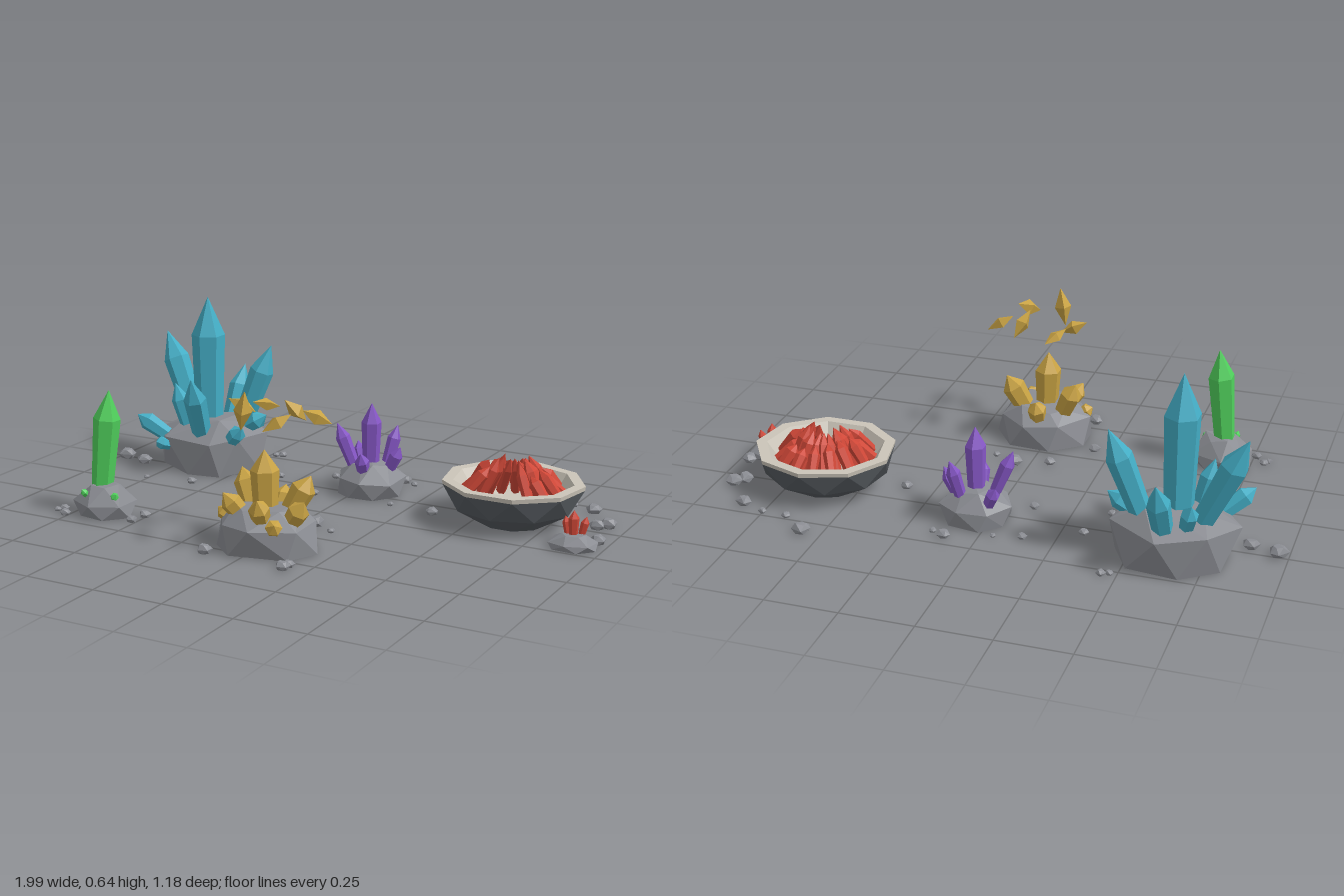
import * as THREE from 'three';
import { ConvexGeometry } from 'three/addons/geometries/ConvexGeometry.js';

const material = (name, color) => {
  const m = new THREE.MeshStandardMaterial({ color });
  m.name = name;
  return m;
};
const Y = new THREE.Vector3(0, 1, 0);

// Small seeded generator for rock irregularity
function seeded(seed) {
  let s = seed * 7919 + 17;
  return () => ((s = (s * 16807) % 2147483647) / 2147483647);
}

// Facet a geometry
function facet(geometry) {
  const g = geometry.index ? geometry.toNonIndexed() : geometry;
  g.computeVertexNormals();
  return g;
}

function add(parent, name, geometry, mat) {
  const mesh = new THREE.Mesh(geometry, mat);
  mesh.name = name;
  parent.add(mesh);
  return mesh;
}

// Convex boulder from jittered rings of [radius factor, height]
function rock(parent, name, mat, [x, z], [rx, rz], rings, sides, seed) {
  const rnd = seeded(seed), pts = [];
  rings.forEach(([f, y], j) => {
    for (let i = 0; i < sides; i++) {
      const a = ((i + j * 0.5 + (rnd() - 0.5) * 0.4) / sides) * Math.PI * 2;
      const k = f * (0.92 + rnd() * 0.12);
      const h = j === 0 ? 0 : y * (0.9 + rnd() * 0.2);
      pts.push(new THREE.Vector3(Math.cos(a) * rx * k, h, Math.sin(a) * rz * k));
    }
  });
  const mesh = add(parent, name, facet(new ConvexGeometry(pts)), mat);
  mesh.position.set(x, 0, z);
}

// Six-sided crystal from a base point to a tip, widening towards its point
function crystal(parent, mat, base, tip, r, name = 'crystal') {
  const from = new THREE.Vector3(...base), dir = new THREE.Vector3(...tip).sub(from);
  const len = dir.length(), shoulder = Math.max(len * 0.72, len - r * 2.3);
  const profile = [[0, 0], [r * 0.78, 0], [r, shoulder], [0, len]].map((p) => new THREE.Vector2(...p));
  const mesh = add(parent, name, facet(new THREE.LatheGeometry(profile, 6)), mat);
  mesh.position.copy(from);
  mesh.quaternion.setFromUnitVectors(Y, dir.normalize());
}

export function createModel() {
  const model = new THREE.Group();
  model.name = 'crystalCollection';
  const stone = material('grey stone', 0x8b8d93);
  const shell = material('dark stone', 0x54595e);
  const cream = material('cream lining', 0xcac4b8);
  const blue = material('blue crystal', 0x44aec6);
  const red = material('red crystal', 0xcf4737);
  const purple = material('purple crystal', 0x8657c6);
  const gold = material('golden crystal', 0xc9a344);
  const green = material('green crystal', 0x50d05c);

  const group = (name) => {
    const g = new THREE.Group();
    g.name = name;
    model.add(g);
    return g;
  };

  // Blue cluster
  const blueCluster = group('blueCluster');
  rock(blueCluster, 'blueRock', stone, [-0.635, -0.325], [0.22, 0.185],
    [[0.92, 0], [1, 0.13], [0.55, 0.18]], 7, 3);
  [
    [[-0.65, 0.1, -0.325], [-0.65, 0.64, -0.325], 0.062],
    [[-0.71, 0.1, -0.36], [-0.88, 0.475, -0.4], 0.048],
    [[-0.56, 0.1, -0.37], [-0.435, 0.46, -0.42], 0.045],
    [[-0.63, 0.07, -0.41], [-0.62, 0.345, -0.54], 0.04],
    [[-0.625, 0.08, -0.25], [-0.6, 0.375, -0.12], 0.042],
    [[-0.69, 0.1, -0.27], [-0.745, 0.32, -0.24], 0.033],
    [[-0.55, 0.13, -0.35], [-0.42, 0.21, -0.355], 0.034],
    [[-0.76, 0.11, -0.23], [-0.87, 0.2, -0.17], 0.034],
    [[-0.53, 0.1, -0.25], [-0.435, 0.195, -0.2], 0.032],
    [[-0.745, 0.09, -0.2], [-0.765, 0.115, -0.135], 0.024],
    [[-0.69, 0.12, -0.41], [-0.72, 0.25, -0.46], 0.03],
  ].forEach((c) => crystal(blueCluster, blue, ...c));

  // Purple cluster
  const purpleCluster = group('purpleCluster');
  rock(purpleCluster, 'purpleRock', stone, [0.05, -0.285], [0.128, 0.122],
    [[0.9, 0], [1, 0.06], [0.55, 0.11]], 7, 8);
  [
    [[0.05, 0.08, -0.285], [0.055, 0.333, -0.28], 0.036],
    [[0, 0.07, -0.275], [-0.07, 0.25, -0.255], 0.026],
    [[0.085, 0.07, -0.325], [0.115, 0.24, -0.37], 0.024],
    [[0.05, 0.06, -0.24], [0.06, 0.17, -0.185], 0.026],
    [[0.1, 0.06, -0.3], [0.16, 0.18, -0.3], 0.024],
    [[0, 0.06, -0.33], [-0.045, 0.16, -0.37], 0.024],
  ].forEach((c) => crystal(purpleCluster, purple, ...c));

  // Golden cluster
  const goldCluster = group('goldenCluster');
  rock(goldCluster, 'goldenRock', stone, [0.02, 0.4], [0.185, 0.155],
    [[1, 0], [0.95, 0.09], [0.6, 0.135]], 7, 5);
  [
    [[0.015, 0.08, 0.4], [0.01, 0.33, 0.4], 0.048],
    [[-0.045, 0.09, 0.37], [-0.11, 0.24, 0.34], 0.04],
    [[0.07, 0.09, 0.37], [0.15, 0.245, 0.34], 0.042],
    [[-0.03, 0.08, 0.43], [-0.1, 0.19, 0.48], 0.035],
    [[0.04, 0.08, 0.46], [0.06, 0.2, 0.535], 0.035],
    [[0.1, 0.07, 0.42], [0.185, 0.19, 0.45], 0.036],
    [[0.08, 0.08, 0.47], [0.12, 0.125, 0.53], 0.028],
    [[-0.09, 0.08, 0.42], [-0.15, 0.12, 0.43], 0.026],
    [[0.02, 0.08, 0.32], [0.02, 0.18, 0.275], 0.034],
  ].forEach((c) => crystal(goldCluster, gold, ...c));

  // Floating golden shards: centre, half size, rotation
  [
    [[-0.095, 0.455, 0.36], [0.025, 0.05, 0.03], [0.5, 0, 1.1]],
    [[-0.015, 0.475, 0.49], [0.03, 0.07, 0.035], [0.2, 0.4, -0.2]],
    [[-0.05, 0.445, 0.28], [0.022, 0.055, 0.022], [1.1, 0.3, 0.5]],
    [[0.09, 0.455, 0.335], [0.026, 0.06, 0.035], [0.5, 0.7, 0.4]],
    [[0.115, 0.455, 0.5], [0.025, 0.055, 0.03], [-0.9, 0.2, -0.6]],
    [[0.175, 0.445, 0.345], [0.022, 0.052, 0.028], [0.8, 0, 0.9]],
  ].forEach(([p, s, r]) => {
    const g = new THREE.OctahedronGeometry(1).scale(...s);
    const shard = add(goldCluster, 'floatingShard', facet(g), gold);
    shard.position.set(...p);
    shard.rotation.set(...r);
  });

  // Green crystal
  const greenCluster = group('greenCluster');
  rock(greenCluster, 'greenRock', stone, [-0.645, 0.365], [0.118, 0.098],
    [[0.9, 0], [1, 0.045], [0.5, 0.105]], 6, 11);
  crystal(greenCluster, green, [-0.655, 0.08, 0.37], [-0.625, 0.44, 0.355], 0.047);
  crystal(greenCluster, green, [-0.6, 0.06, 0.39], [-0.57, 0.09, 0.41], 0.015);
  crystal(greenCluster, green, [-0.68, 0.06, 0.41], [-0.69, 0.1, 0.44], 0.013);

  // Geode bowl: staggered outer shell, cream rim and lining
  const geode = group('geodeBowl');
  geode.position.set(0.625, 0, -0.22);
  const lathe = (points) => new THREE.LatheGeometry(points.map((p) => new THREE.Vector2(...p)), 9);
  const outer = lathe([[0, 0], [0.11, 0], [0.208, 0.06], [0.238, 0.135]]);
  const pos = outer.attributes.position, v = new THREE.Vector3();
  for (let i = 0; i < pos.count; i++) {
    v.fromBufferAttribute(pos, i).applyAxisAngle(Y, ((i % 4) * Math.PI) / 9);
    pos.setXYZ(i, v.x, v.y, v.z);
  }
  const inner = lathe([[0.238, 0.135], [0.24, 0.15], [0.203, 0.15], [0.16, 0.085], [0.08, 0.05], [0, 0.045]]);
  inner.rotateY(Math.PI / 9);
  for (const [name, g, m] of [['bowlShell', outer, shell], ['bowlLining', inner, cream]]) {
    add(geode, name, facet(g.scale(1.03, 1, 0.96)), m);
  }
  // Red crystals lean in from the wall, leaving a gap at the front
  const rnd = seeded(21);
  const count = 22;
  for (let i = 0; i < count; i++) {
    const a = THREE.MathUtils.degToRad(-218 + (i / (count - 1)) * 256);
    const near = i % 2, rb = near ? 0.12 : 0.168, rt = (near ? 0.025 : 0.075) + rnd() * 0.03;
    const h = (near ? 0.205 : 0.175) + rnd() * 0.03;
    const c = Math.cos(a), s = Math.sin(a);
    crystal(geode, red, [c * rb, near ? 0.075 : 0.105, s * rb], [c * rt, h, s * rt], 0.02 + rnd() * 0.005);
  }

  // Small red cluster beside the bowl
  const redCluster = group('smallRedCluster');
  rock(redCluster, 'redRock', stone, [0.9, -0.07], [0.09, 0.072],
    [[0.95, 0], [1, 0.02], [0.5, 0.045]], 6, 14);
  [
    [[0.9, 0.03, -0.07], [0.9, 0.127, -0.07], 0.018],
    [[0.88, 0.03, -0.08], [0.865, 0.1, -0.085], 0.014],
    [[0.92, 0.03, -0.085], [0.937, 0.105, -0.09], 0.014],
  ].forEach((c) => crystal(redCluster, red, ...c));

  // Scattered pebbles: x, z, radius
  const pebbles = group('pebbles');
  [
    [-0.965, -0.235, 0.035], [-0.87, -0.21, 0.03], [-0.755, -0.05, 0.012], [-0.575, -0.075, 0.02],
    [-0.38, -0.135, 0.018], [-0.325, -0.29, 0.019], [-0.45, -0.53, 0.018], [-0.475, -0.52, 0.015],
    [-0.14, -0.38, 0.018], [-0.045, -0.4, 0.012], [0.11, -0.45, 0.025], [0.155, -0.43, 0.015],
    [-0.115, -0.165, 0.02], [0.18, -0.18, 0.013], [0.57, -0.565, 0.034], [0.66, -0.485, 0.018],
    [0.75, -0.48, 0.016], [0.835, -0.445, 0.03], [0.935, -0.315, 0.032], [0.905, -0.285, 0.03],
    [0.35, -0.16, 0.024], [0.96, -0.14, 0.03], [-0.795, 0.4, 0.018], [-0.76, 0.445, 0.02],
    [-0.735, 0.3, 0.018], [-0.81, 0.42, 0.014], [-0.505, 0.335, 0.023], [-0.515, 0.4, 0.022],
    [0.055, 0.135, 0.032], [-0.065, 0.17, 0.023], [0.135, 0.175, 0.015], [-0.19, 0.32, 0.024],
    [-0.13, 0.55, 0.028], [0.17, 0.565, 0.027], [0.175, 0.535, 0.022],
  ].forEach(([x, z, r], i) => rock(pebbles, 'pebble', stone, [x, z], [r, r * 0.95],
    [[0.7, 0], [1, r * 0.5], [0.55, r * 0.95]], 5, 30 + i));

  return model;
}
